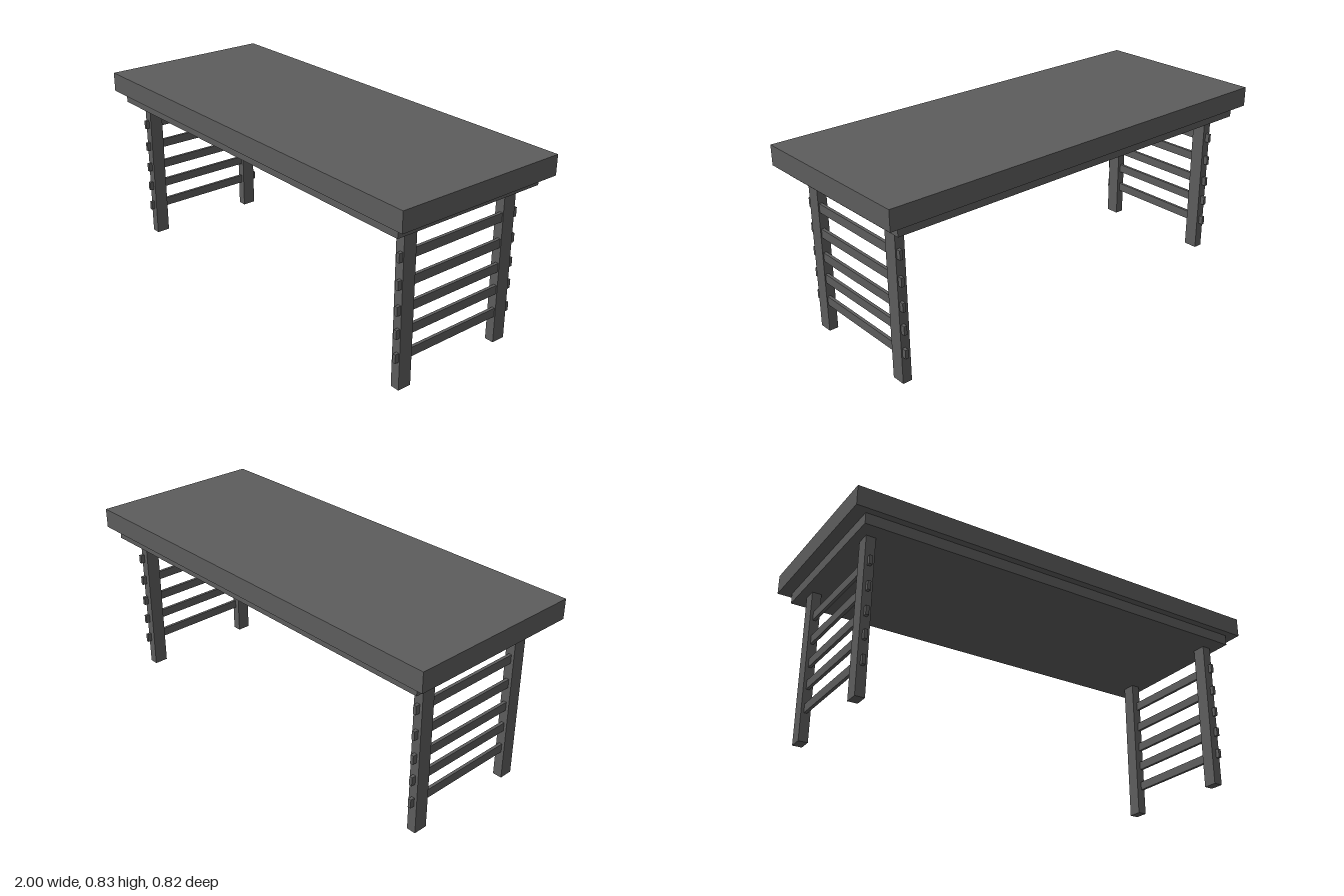
import * as THREE from 'three';

export function createModel() {
  const group = new THREE.Group();
  const darkGrey = new THREE.MeshStandardMaterial({ color: 0x5c5c5c });
  darkGrey.name = 'darkGrey';

  // Box given by its extents along each axis
  function box(name, [x0, x1], [y0, y1], [z0, z1], parent = group) {
    const mesh = new THREE.Mesh(new THREE.BoxGeometry(x1 - x0, y1 - y0, z1 - z0), darkGrey);
    mesh.position.set((x0 + x1) / 2, (y0 + y1) / 2, (z0 + z1) / 2);
    mesh.name = name;
    parent.add(mesh);
  }

  // Thick top and the smaller slab beneath it
  box('tableTop', [-1, 1], [0.739, 0.828], [-0.41, 0.41]);
  box('underSlab', [-0.946, 0.946], [0.69, 0.739], [-0.376, 0.378]);

  // Ladder-like leg frame at each end, with rungs passing through the legs
  const rungHeights = [0.146, 0.252, 0.353, 0.462, 0.576];
  const ends = [
    { name: 'left', x: 0.885, rungX: 0.894, backFoot: 0.005 },
    { name: 'right', x: -0.885, rungX: -0.886, backFoot: 0 },
  ];
  for (const { name, x, rungX, backFoot } of ends) {
    const frame = new THREE.Group();
    frame.name = name + 'LegFrame';
    group.add(frame);
    const legX = [x - 0.021, x + 0.021];
    box(name + 'FrontLeg', legX, [0, 0.69], [0.242, 0.305], frame);
    box(name + 'BackLeg', legX, [backFoot, 0.69], [-0.294, -0.23], frame);
    rungHeights.forEach((y, i) => box(`${name}Rung${i + 1}`,
      [rungX - 0.007, rungX + 0.007], [y - 0.02, y + 0.02], [-0.314, 0.323], frame));
  }
  return group;
}
